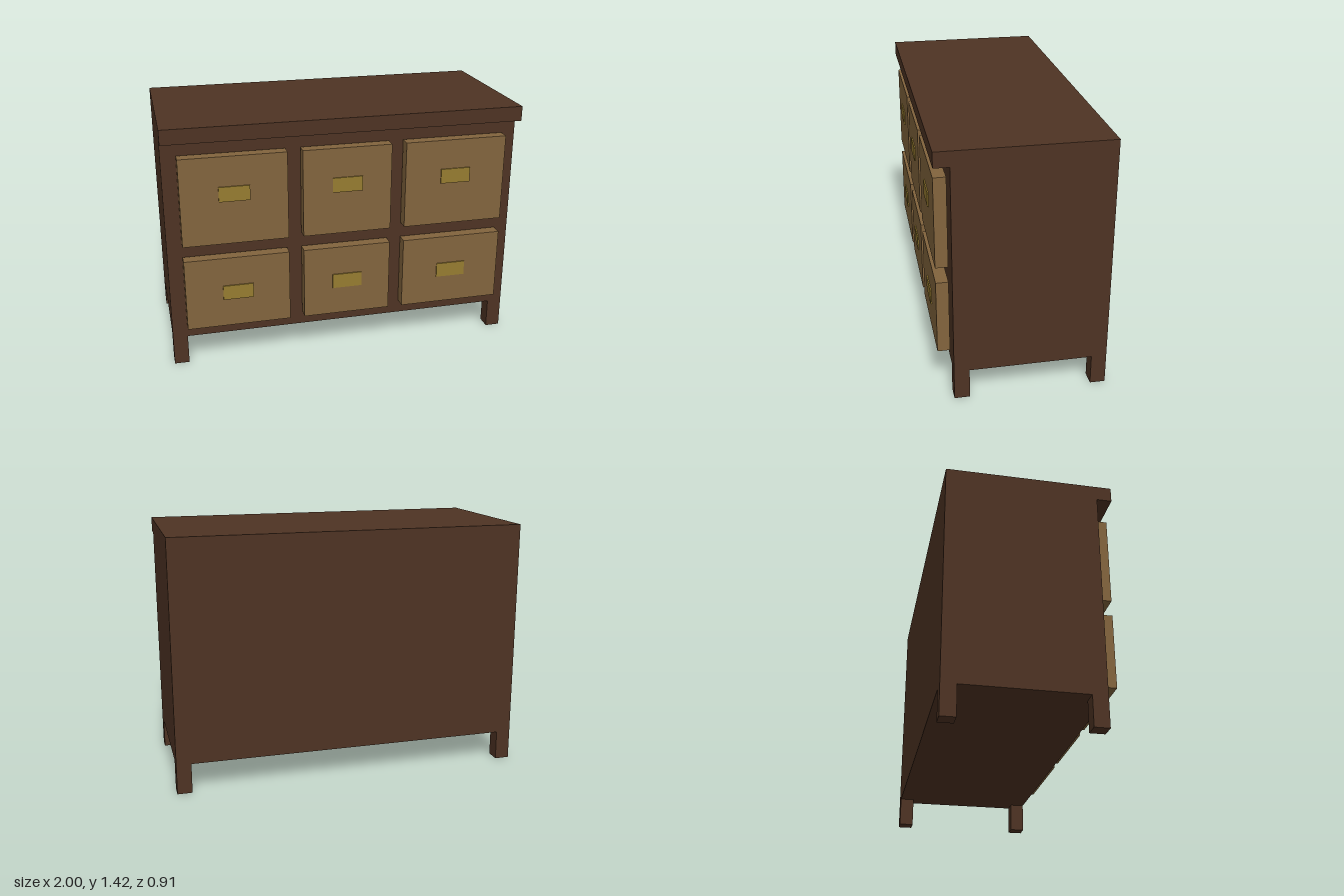
import * as THREE from 'three';

const wood = new THREE.MeshStandardMaterial({ name: 'darkWood', color: 0x4e3323 });
const drawerWood = new THREE.MeshStandardMaterial({ name: 'lightWood', color: 0x82643d });
const brass = new THREE.MeshStandardMaterial({ name: 'brass', color: 0x967b30 });

// Box given by its lower and upper corners
function box(name, material, [x0, y0, z0], [x1, y1, z1]) {
  const mesh = new THREE.Mesh(new THREE.BoxGeometry(x1 - x0, y1 - y0, z1 - z0), material);
  mesh.position.set((x0 + x1) / 2, (y0 + y1) / 2, (z0 + z1) / 2);
  mesh.name = name;
  return mesh;
}

export function createModel() {
  const group = new THREE.Group();
  group.name = 'dresser';

  const back = -0.457, front = 0.375, lip = 0.457;
  const bottom = 0.17, underTop = 1.337, height = 1.42, leg = 0.083;

  // Carcass and overhanging top
  group.add(box('carcass', wood, [-1, bottom, back], [1, underTop, front]));
  group.add(box('top', wood, [-1, underTop, back], [1, height, lip]));

  // Four square legs flush with the corners
  for (const x of [-1, 1 - leg]) {
    for (const z of [back, front - leg]) {
      group.add(box('leg', wood, [x, 0, z], [x + leg, bottom, z + leg]));
    }
  }

  // Two rows of three drawers, each with a flat pull reaching back to the carcass
  const columns = [[-0.917, -0.333], [-0.25, 0.25], [0.333, 0.917]];
  const rows = [
    { y0: 0.253, y1: 0.668, pull: 0.46 },
    { y0: 0.755, y1: 1.253, pull: 1.043 },
  ];
  for (const { y0, y1, pull } of rows) {
    for (const [x0, x1] of columns) {
      const cx = (x0 + x1) / 2;
      const drawer = new THREE.Group();
      drawer.name = 'drawer';
      drawer.add(box('drawerFront', drawerWood, [x0, y0, 0.383], [x1, y1, 0.45]));
      drawer.add(box('drawerPull', brass, [cx - 0.085, pull - 0.042, front], [cx + 0.085, pull + 0.042, lip]));
      group.add(drawer);
    }
  }
  return group;
}
